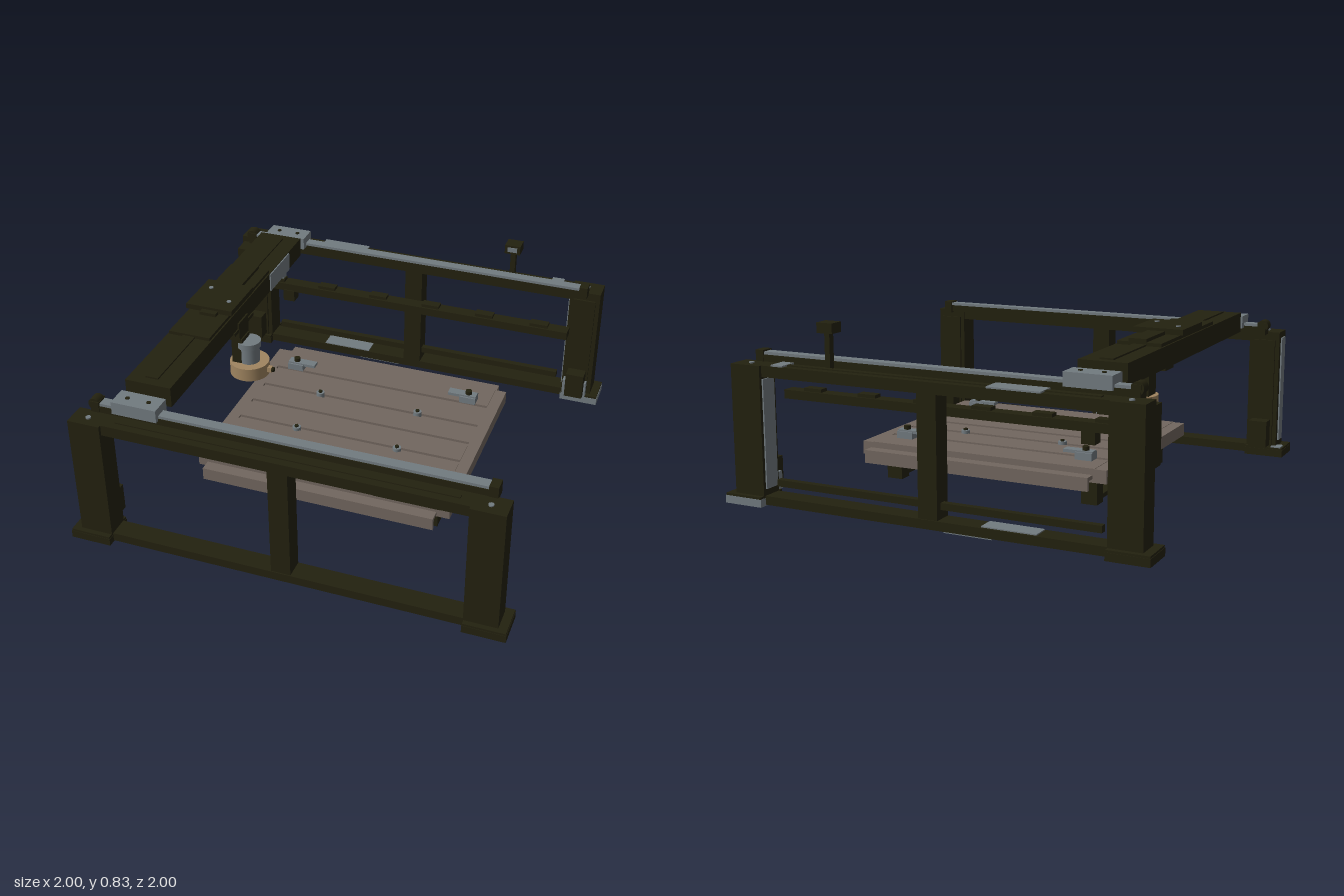
import * as THREE from 'three';

const mat = (name, color) => {
  const m = new THREE.MeshStandardMaterial({ color });
  m.name = name;
  return m;
};

export function createModel() {
  const dark = mat('dark olive frame', 0x23210f);
  const steel = mat('steel grey', 0x727b80);
  const bed = mat('taupe bed', 0x72675f);
  const tan = mat('tan ring', 0xa08560);
  const model = new THREE.Group();
  model.name = 'gantryMachine';

  const group = (name) => {
    const g = new THREE.Group();
    g.name = name;
    model.add(g);
    return g;
  };
  // Box given by its limits on each axis
  const box = (g, name, m, x0, x1, y0, y1, z0, z1) => {
    const mesh = new THREE.Mesh(new THREE.BoxGeometry(x1 - x0, y1 - y0, Math.abs(z1 - z0)), m);
    mesh.position.set((x0 + x1) / 2, (y0 + y1) / 2, (z0 + z1) / 2);
    mesh.name = name;
    g.add(mesh);
    return mesh;
  };
  // Upright cylinder between two heights
  const cyl = (g, name, m, x, z, y0, y1, r, n = 32) => {
    const mesh = new THREE.Mesh(new THREE.CylinderGeometry(r, r, y1 - y0, n), m);
    mesh.position.set(x, (y0 + y1) / 2, z);
    mesh.name = name;
    g.add(mesh);
    return mesh;
  };

  // Two side frames with linear rails
  for (const s of [1, -1]) {
    const g = group(s > 0 ? 'frontFrame' : 'backFrame');
    box(g, 'baseBeam', dark, -0.81, 0.81, 0.01, 0.05, s * 0.87, s * 0.965);
    box(g, 'topBeam', dark, -0.81, 0.81, 0.58, 0.63, s * 0.87, s * 0.96);
    box(g, 'topBeamRidge', dark, -0.76, 0.76, 0.63, 0.635, s * 0.9, s * 0.925);
    box(g, 'middlePost', dark, -0.05, 0.04, 0.05, 0.58, s * 0.87, s * 0.96);
    for (const e of [-1, 1]) {
      const x = (a, b) => (e > 0 ? [a, b] : [-b, -a]);
      const greyFoot = s < 0 && e > 0;
      box(g, 'foot', greyFoot ? steel : dark, ...x(0.81, 1), 0.005, 0.04, s * 0.84, s * 1);
      box(g, 'footCap', dark, ...x(0.812, 0.998), 0.04, 0.05, s * 0.842, s * 0.998);
      box(g, 'post', dark, ...x(0.81, 0.96), 0.05, 0.63, s * 0.865, s * 0.975);
      box(g, 'postLiner', dark, ...x(0.83, 0.94), 0.05, 0.59, s * 0.855, s * 0.865);
      box(g, 'levelBlock', dark, ...x(0.84, 0.93), 0.06, 0.19, s * 0.79, s * 0.855);
      cyl(g, 'postBolt', steel, e * 0.885, s * 0.925, 0.63, 0.636, 0.012, 16);
      box(g, 'railEnd', dark, ...x(0.86, 0.9), 0.62, 0.68, s * 0.815, s * 0.875);
    }
    box(g, 'railSupport', dark, -0.88, 0.88, 0.625, 0.66, s * 0.825, s * 0.872);
    box(g, 'rail', steel, -0.89, 0.89, 0.66, 0.673, s * 0.82, s * 0.868);
    const pulley = cyl(g, 'railPulley', dark, -0.885, s * 0.845, 0.64, 0.69, 0.027, 20);
    pulley.rotation.x = Math.PI / 2;
    // Carriage that carries one end of the gantry
    box(g, 'railCarriage', steel, -0.79, -0.58, 0.65, 0.71, s * 0.79, s * 0.89);
    for (const cx of [-0.735, -0.635]) cyl(g, 'carriageBolt', dark, cx, s * 0.84, 0.71, 0.714, 0.01, 12);
  }

  // Painted and fitted plates on the frames
  const plates = group('framePlates');
  box(plates, 'topPlate', steel, -0.52, -0.28, 0.63, 0.637, -0.965, -0.87);
  box(plates, 'topPlate', steel, 0.7, 0.76, 0.63, 0.637, -0.96, -0.87);
  box(plates, 'basePlate', steel, -0.5, -0.25, 0.05, 0.055, -0.955, -0.875);
  box(plates, 'undersidePlate', steel, -0.3, -0.08, 0.004, 0.01, -0.96, -0.875);
  box(plates, 'postPlate', steel, 0.803, 0.81, 0.08, 0.57, -0.96, -0.88);
  box(plates, 'postPlate', steel, -0.967, -0.96, 0.08, 0.6, 0.89, 0.95);
  box(plates, 'footPlate', steel, -0.99, -0.94, 0.05, 0.056, 0.845, 0.9);
  box(plates, 'cornerBlock', steel, 0.82, 0.94, 0.05, 0.13, -0.865, -0.825);
  box(plates, 'lowerTieBar', dark, -0.77, 0.77, 0.09, 0.12, -0.93, -0.9);

  // Cable tray and its bracket on the back frame
  const tray = group('cableTray');
  box(tray, 'trayFloor', dark, -0.84, 0.84, 0.445, 0.485, -0.76, -0.695);
  box(tray, 'trayEnd', dark, -0.92, -0.84, 0.45, 0.49, -0.755, -0.7);
  for (let i = 0; i < 6; i++) {
    const x = -0.75 + i * 0.28;
    box(tray, 'trayLink', dark, x, x + 0.09, 0.485, 0.5, -0.75, -0.705);
  }
  box(tray, 'trayHanger', dark, -0.66, -0.6, 0.39, 0.45, -0.75, -0.69);
  box(tray, 'junctionBox', dark, -0.72, -0.66, 0.515, 0.565, -0.73, -0.68);
  box(tray, 'junctionFace', steel, -0.66, -0.655, 0.517, 0.563, -0.728, -0.682);
  box(tray, 'trayBracket', dark, -0.95, -0.81, 0.35, 0.6, -0.865, -0.775);

  // Sensor on a short stalk
  const sensor = group('sensor');
  box(sensor, 'sensorStalk', dark, 0.495, 0.52, 0.63, 0.79, -0.9, -0.87);
  box(sensor, 'sensorHead', dark, 0.468, 0.545, 0.785, 0.83, -0.92, -0.85);
  box(sensor, 'sensorWindow', steel, 0.483, 0.53, 0.797, 0.82, -0.85, -0.845);

  // Gantry beam and its sliding plates
  const gantry = group('gantry');
  box(gantry, 'gantryBeam', dark, -0.795, -0.58, 0.64, 0.735, -0.745, 0.745);
  box(gantry, 'beamRib', dark, -0.72, -0.66, 0.735, 0.742, -0.71, 0.7);
  box(gantry, 'slidePlate', dark, -0.788, -0.587, 0.735, 0.75, -0.35, 0.335);
  box(gantry, 'slideRib', dark, -0.72, -0.64, 0.75, 0.765, -0.35, 0.155);
  box(gantry, 'toolPlate', dark, -0.803, -0.572, 0.752, 0.777, -0.125, 0.125);
  box(gantry, 'beamSidePlate', steel, -0.58, -0.574, 0.642, 0.732, -0.58, -0.34);
  for (const [x, z] of [[-0.755, -0.05], [-0.62, 0.045]]) cyl(gantry, 'toolPlateBolt', steel, x, z, 0.777, 0.781, 0.011, 12);

  // Spindle hanging from the gantry
  const spindle = group('spindle');
  box(spindle, 'spindleMount', dark, -0.7, -0.572, 0.575, 0.67, -0.052, 0.052);
  box(spindle, 'mountFlange', dark, -0.7, -0.574, 0.625, 0.642, -0.12, 0.1);
  box(spindle, 'spindleBracket', dark, -0.62, -0.565, 0.45, 0.58, -0.045, 0.045);
  cyl(spindle, 'spindleBody', steel, -0.55, 0, 0.44, 0.53, 0.05);
  cyl(spindle, 'spindleTop', steel, -0.55, 0, 0.53, 0.56, 0.058);
  cyl(spindle, 'clampRing', tan, -0.55, 0, 0.385, 0.45, 0.095, 40);
  box(spindle, 'ringTab', tan, -0.46, -0.435, 0.405, 0.43, -0.012, 0.012);
  const screw = cyl(spindle, 'ringScrew', dark, -0.434, 0, 0.408, 0.427, 0.012, 12);
  screw.rotation.z = Math.PI / 2;
  cyl(spindle, 'chuck', steel, -0.55, 0, 0.365, 0.385, 0.028, 20);

  // Slotted bed: planks over a lower slab
  const table = group('bed');
  box(table, 'bedSlab', bed, -0.55, 0.55, 0.155, 0.205, -0.49, 0.49);
  const slots = [-0.32, -0.15, 0, 0.15, 0.32];
  const edges = [-0.49, ...slots.flatMap((z) => [z - 0.014, z + 0.014]), 0.49];
  for (let i = 0; i < edges.length; i += 2) {
    box(table, 'bedPlank', bed, -0.55, 0.55, 0.205, 0.217, edges[i], edges[i + 1]);
  }
  for (const s of [-1, 1]) {
    box(table, 'bedEnd', bed, s > 0 ? 0.55 : -0.605, s > 0 ? 0.605 : -0.55, 0.155, 0.215, -0.49, 0.49);
    box(table, 'sideLip', bed, -0.55, 0.55, 0.178, 0.195, s * 0.51, s * 0.565);
    box(table, 'sideLipLeg', bed, -0.55, 0.55, 0.135, 0.178, s * 0.547, s * 0.565);
  }
  box(table, 'edgeStrip', dark, 0.25, 0.56, 0.197, 0.217, 0.49, 0.496);

  // Clamps and bolts on the bed
  const clamps = group('clamps');
  for (const sx of [-1, 1]) for (const sz of [-1, 1]) {
    const z = sz * 0.352;
    const x = (a, b) => (sx > 0 ? [a, b] : [-b, -a]);
    box(clamps, 'clampArm', steel, ...x(0.35, 0.49), 0.243, 0.257, z - 0.022, z + 0.022);
    box(clamps, 'clampBlock', steel, ...x(0.41, 0.49), 0.217, 0.25, z - 0.03, z + 0.03);
    cyl(clamps, 'clampStud', dark, sx * 0.45, z, 0.25, 0.275, 0.016, 12);
    cyl(clamps, 'bedBolt', steel, sx * 0.25, sz * 0.157, 0.205, 0.232, 0.02, 16);
    cyl(clamps, 'bedBoltHead', dark, sx * 0.25, sz * 0.157, 0.232, 0.24, 0.01, 6);
  }

  // Stand under the bed
  const stand = group('bedStand');
  for (const s of [-1, 1]) {
    const x0 = s * 0.49 - 0.038, x1 = s * 0.49 + 0.038;
    for (const t of [-1, 1]) box(stand, 'leg', dark, x0, x1, 0.03, 0.155, t * 0.342, t * 0.408);
    box(stand, 'crossBar', dark, x0 + 0.01, x1 - 0.01, 0.04, 0.06, -0.342, 0.342);
  }
  box(stand, 'centrePlate', dark, -0.53, 0.53, 0.036, 0.066, -0.078, 0.078);
  return model;
}
